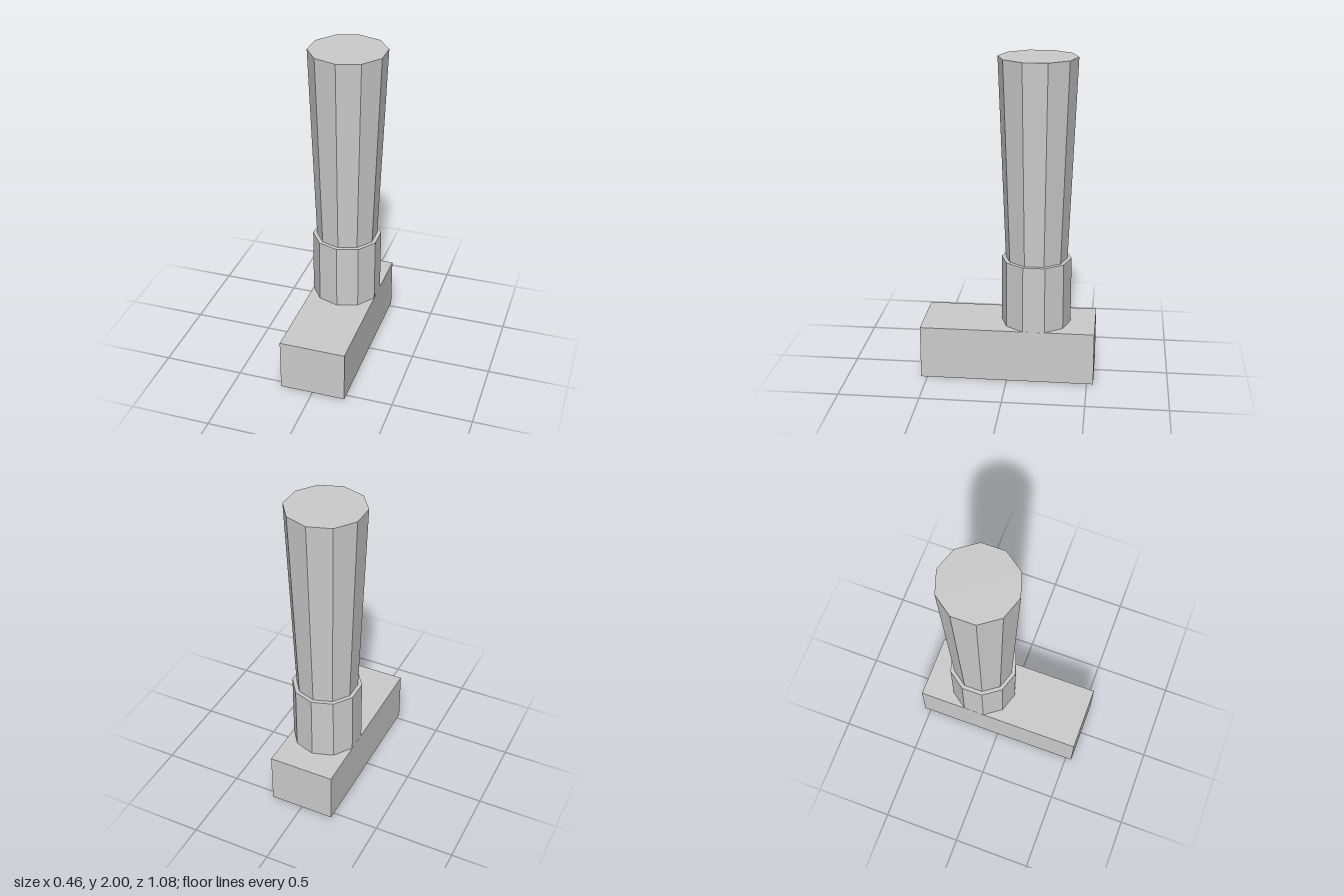
import * as THREE from 'three';

export function createModel() {
  const group = new THREE.Group();
  const grey = new THREE.MeshStandardMaterial({ color: 0xcccccc, flatShading: true });
  grey.name = 'light grey';

  const baseHeight = 0.333, collarTop = 0.753, axisZ = -0.167;

  const add = (name, geometry, y, z) => {
    const mesh = new THREE.Mesh(geometry, grey);
    mesh.name = name;
    mesh.position.set(0, y, z);
    group.add(mesh);
  };

  // Ten-sided section standing between two heights on the handle axis
  const section = (name, topRadius, bottomRadius, y0, y1) =>
    add(name, new THREE.CylinderGeometry(topRadius, bottomRadius, y1 - y0, 10), (y0 + y1) / 2, axisZ);

  // Rectangular block at the foot
  add('headBlock', new THREE.BoxGeometry(0.414, baseHeight, 1.08), baseHeight / 2, 0);

  // Straight collar, then the handle flaring towards its end
  section('collar', 0.217, 0.217, baseHeight, collarTop);
  section('handle', 0.24, 0.192, collarTop, 2);

  return group;
}
